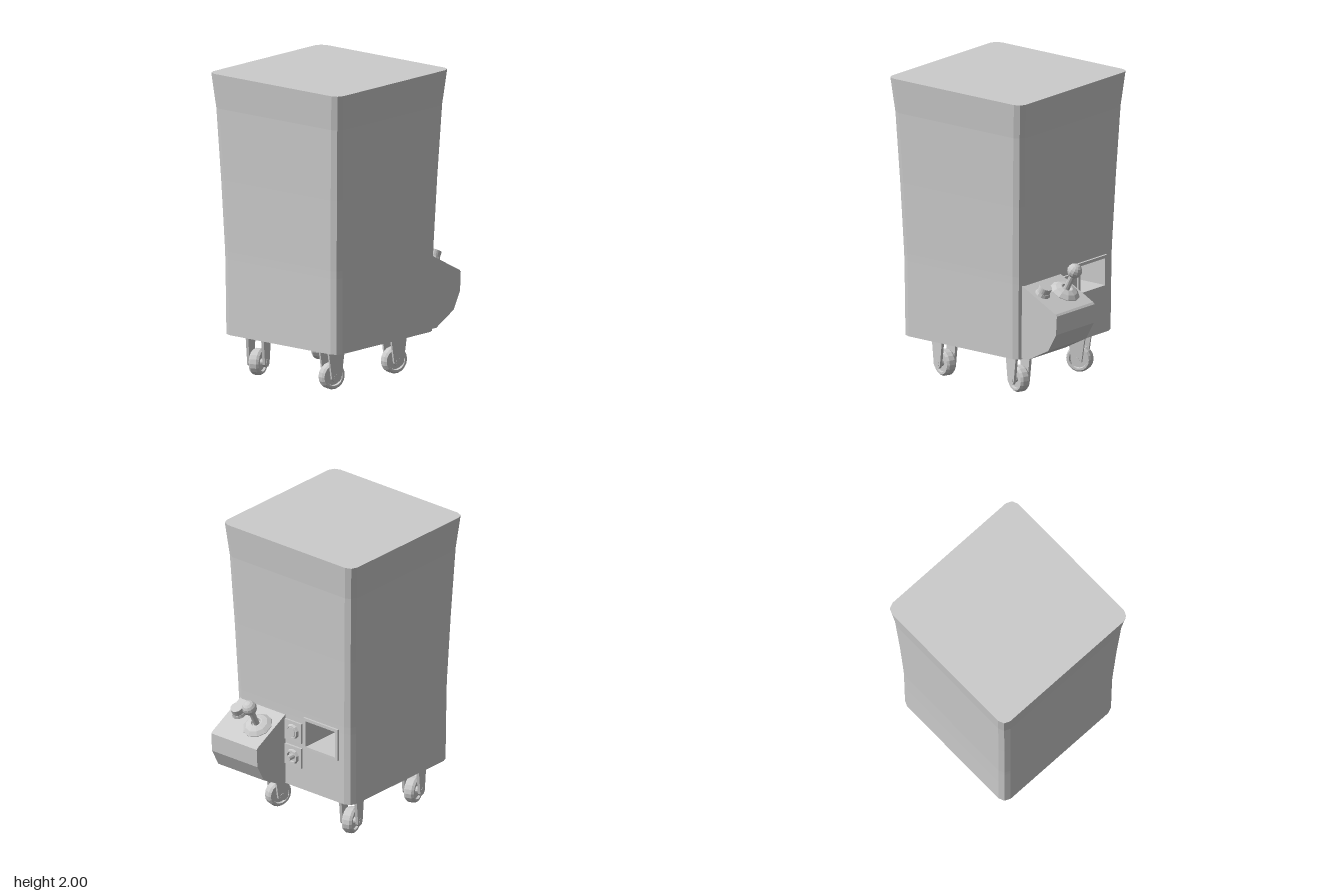
import * as THREE from 'three';

const mat = new THREE.MeshStandardMaterial({ color: 0xcccccc, flatShading: true });
const thin = new THREE.MeshStandardMaterial({ color: 0xcccccc, flatShading: true, side: THREE.DoubleSide });

function add(parent, name, geo, x = 0, y = 0, z = 0, material = mat) {
  const m = new THREE.Mesh(geo, material);
  m.name = name;
  m.position.set(x, y, z);
  parent.add(m);
  return m;
}
const box = (w, h, d) => new THREE.BoxGeometry(w, h, d);
const cyl = (a, b, h, n) => new THREE.CylinderGeometry(a, b, h, n);
const lathe = (pts, n) => new THREE.LatheGeometry(pts.map(p => new THREE.Vector2(...p)), n);
const shape = pts => new THREE.Shape(pts.map(p => new THREE.Vector2(...p)));
const rect = (x0, x1, y0, y1) => [[x0, y0], [x1, y0], [x1, y1], [x0, y1]];
const extrude = (s, depth) => new THREE.ExtrudeGeometry(s, { depth, bevelEnabled: false });

const BODY_Z = 0.109;
const HOLE = { x0: -0.37, x1: -0.12, y0: 0.6, y1: 0.78 };

// Flared body: stacked rounded squares, with one back quad left open for the recess
function bodyGeometry() {
  const levels = [[0.28, 0.484], [HOLE.y0, 0.487], [HOLE.y1, 0.489], [0.83, 0.49], [1.3, 0.508], [1.77, 0.53], [2, 0.553]];
  const pos = [], idx = [];
  const r = 0.055;
  for (const [y, h] of levels) {
    for (let k = 0; k < 4; k++) {
      for (let [x, z] of [[h, h - r], [h - 0.3 * r, h - 0.3 * r], [h - r, h]]) {
        for (let t = 0; t < k; t++) [x, z] = [-z, x];
        pos.push(x, y, z + BODY_Z);
      }
      if (k === 2) for (const x of [HOLE.x0, HOLE.x1]) pos.push(x, y, BODY_Z - h);
    }
  }
  const n = 14, top = n * (levels.length - 1), centre = n * levels.length;
  pos.push(0, 0.28, BODY_Z, 0, 2, BODY_Z);
  for (let i = 0; i < n; i++) {
    const j = (i + 1) % n;
    for (let l = 0; l < levels.length - 1; l++) {
      if (l === 1 && i === 9) continue;
      const a = l * n + i, b = l * n + j;
      idx.push(a, a + n, b, b, a + n, b + n);
    }
    idx.push(centre, i, j, centre + 1, top + j, top + i);
  }
  const g = new THREE.BufferGeometry();
  g.setAttribute('position', new THREE.Float32BufferAttribute(pos, 3));
  g.setIndex(idx);
  g.computeVertexNormals();
  return g;
}

// Swivel caster: mounting plate, tapered fork and wheel
function caster(x, z, yaw) {
  const g = new THREE.Group();
  g.name = 'caster';
  g.position.set(x, 0, z);
  add(g, 'casterPlate', box(0.17, 0.03, 0.16), 0, 0.267, 0);
  const swivel = new THREE.Group();
  swivel.name = 'casterSwivel';
  swivel.rotation.y = yaw;
  g.add(swivel);
  add(swivel, 'forkBridge', box(0.13, 0.012, 0.11), 0, 0.25, 0);
  const leg = extrude(shape([[-0.06, 0.255], [-0.035, 0.075], [-0.02, 0.058], [0.02, 0.058], [0.035, 0.075], [0.06, 0.255]]), 0.018);
  leg.translate(0, 0, -0.009).rotateY(Math.PI / 2);
  for (const s of [-1, 1]) add(swivel, 'forkLeg', leg, s * 0.054, 0, 0);
  const tyre = lathe([[0.02, -0.02], [0.058, -0.02], [0.062, -0.035], [0.076, -0.035], [0.087, -0.02],
    [0.087, 0.02], [0.076, 0.035], [0.062, 0.035], [0.058, 0.02], [0.02, 0.02]], 18);
  add(swivel, 'wheel', tyre, 0, 0.087, 0, thin).rotation.z = Math.PI / 2;
  add(swivel, 'axle', cyl(0.022, 0.022, 0.13, 10), 0, 0.087, 0).rotation.z = Math.PI / 2;
  return g;
}

export function createModel() {
  const model = new THREE.Group();
  model.name = 'wheeledBin';
  add(model, 'body', bodyGeometry());

  // Recess in the back: inward-facing box without its opening, plus a raised frame
  const { x0, x1, y0, y1 } = HOLE;
  const inner = box(x1 - x0, y1 - y0, 0.3);
  inner.setIndex(Array.from(inner.index.array).slice(0, 30));
  add(model, 'recess', inner, (x0 + x1) / 2, (y0 + y1) / 2, -0.23, thin);
  const frame = shape(rect(x0 - 0.02, x1 + 0.02, y0 - 0.02, y1 + 0.02));
  frame.holes.push(shape(rect(x0, x1, y0, y1)));
  add(model, 'recessFrame', extrude(frame, 0.022), 0, 0, -0.394);

  // Two small square plates with a dial and a socket
  for (const [name, y] of [['dial', 0.675], ['socket', 0.5]]) {
    add(model, name + 'Plate', box(0.14, 0.14, 0.025), -0.01, y, -0.38);
    const ring = lathe([[0.034, 0], [0.036, 0.018], [0.046, 0.018], [0.052, 0]], 10);
    add(model, name + 'Ring', ring, -0.01, y, -0.392, thin).rotation.x = -Math.PI / 2;
    const r = name === 'dial' ? 0.034 : 0.018, h = name === 'dial' ? 0.02 : 0.05;
    add(model, name + 'Centre', cyl(r, r, h, 10), -0.01, y, -0.392 - h / 2).rotation.x = -Math.PI / 2;
  }

  // Control box: side profile in (-z, y), extruded along x
  const profile = shape([[0.34, 0.285], [0.42, 0.285], [0.59, 0.375], [0.653, 0.49], [0.66, 0.615], [0.648, 0.627], [0.373, 0.77], [0.34, 0.77]]);
  add(model, 'controlBox', extrude(profile, 0.385).rotateY(Math.PI / 2), 0.065, 0, 0);

  // Joystick, square to the sloping top of the box
  const tilt = -0.48;
  const stick = new THREE.Group();
  stick.name = 'joystick';
  stick.position.set(0.185, 0.694, -0.51);
  stick.rotation.x = tilt;
  model.add(stick);
  add(stick, 'joystickBase', lathe([[0.1, -0.005], [0.1, 0.008], [0.075, 0.03], [0.042, 0.042], [0.034, 0.042], [0.028, 0.028], [0, 0.028]], 10), 0, 0, 0, thin);
  add(stick, 'joystickShaft', cyl(0.02, 0.02, 0.16, 10), 0, 0.09, 0);
  add(stick, 'joystickBall', new THREE.SphereGeometry(0.049, 12, 8), 0, 0.178, 0);

  // Push button
  const button = new THREE.Group();
  button.name = 'pushButton';
  button.position.set(0.37, 0.713, -0.475);
  button.rotation.x = tilt;
  model.add(button);
  add(button, 'buttonCollar', cyl(0.045, 0.053, 0.03, 12), 0, 0.01, 0);
  add(button, 'buttonCap', cyl(0.042, 0.042, 0.05, 20), 0, 0.04, 0);

  // Four casters, toed in on each side
  for (const z of [0.405, -0.205]) {
    model.add(caster(0.277, z, -0.3), caster(-0.345, z, 0.3));
  }
  return model;
}
